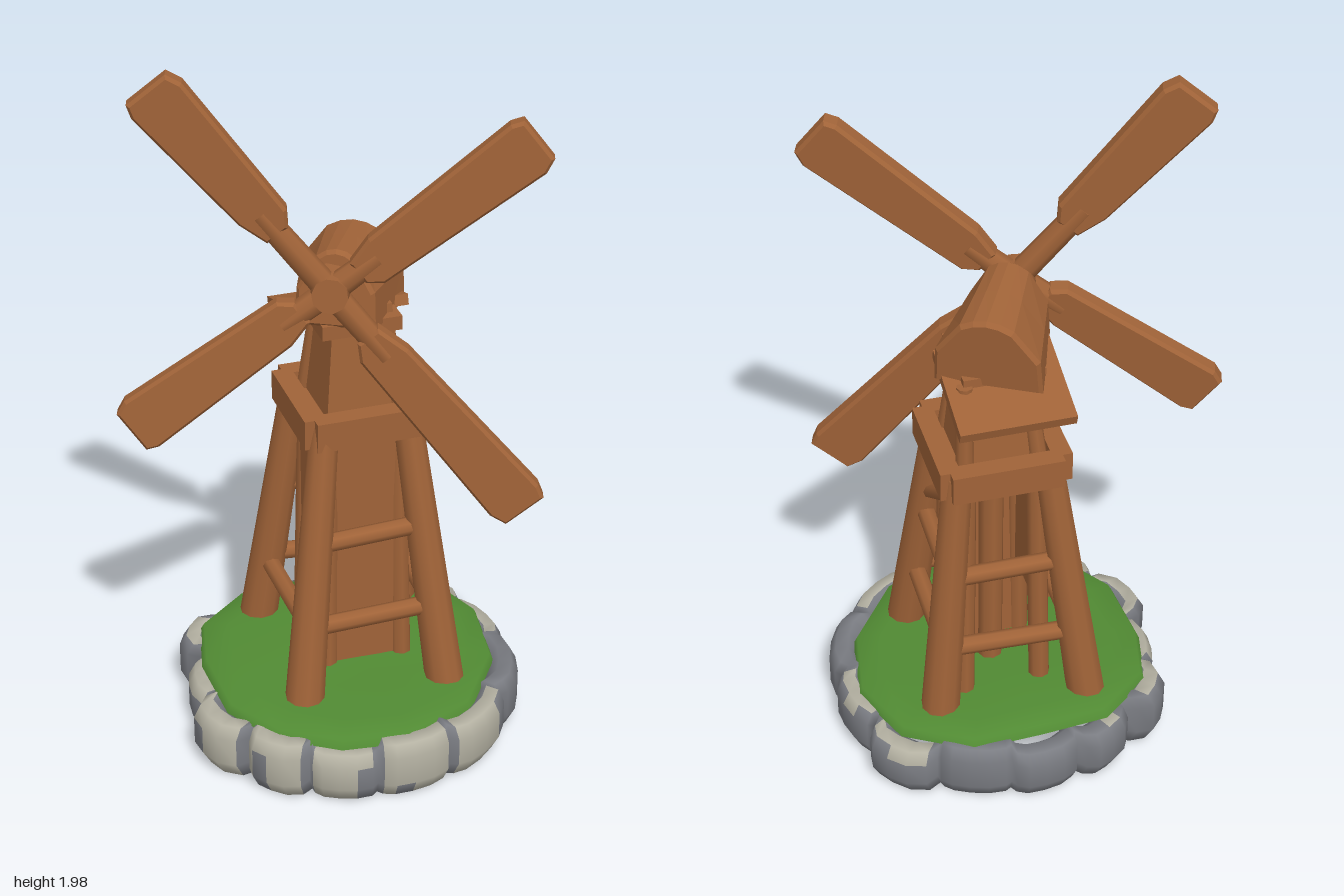
import * as THREE from 'three';

const V = (x, y, z) => new THREE.Vector3(x, y, z);
const mat = (name, color, extra = {}) => {
  const m = new THREE.MeshStandardMaterial({ color, ...extra });
  m.name = name;
  return m;
};

export function createModel() {
  const root = new THREE.Group();
  root.name = 'windmill';
  const wood = mat('wood', 0xa06338);
  const grass = mat('grass', 0x518a33, { side: THREE.DoubleSide });
  const stone = mat('stone', 0x7a7c82);
  const paleStone = mat('paleStone', 0xb4b1a2);
  const soil = mat('soil', 0x49372a);

  const add = (name, geo, m = wood) => {
    const mesh = new THREE.Mesh(geo, m);
    mesh.name = name;
    root.add(mesh);
    return mesh;
  };
  // round pole from a to b
  const pole = (name, a, b, rA, rB, sides = 10) => {
    const mesh = add(name, new THREE.CylinderGeometry(rB, rA, a.distanceTo(b), sides));
    mesh.position.copy(a).add(b).multiplyScalar(0.5);
    mesh.quaternion.setFromUnitVectors(V(0, 1, 0), b.clone().sub(a).normalize());
  };
  // turn a mesh so its x and y axes follow the given directions
  const orient = (mesh, pos, x, y) => {
    const z = x.clone().cross(y).normalize();
    mesh.quaternion.setFromRotationMatrix(new THREE.Matrix4().makeBasis(x, z.clone().cross(x), z));
    mesh.position.copy(pos);
  };
  const plank = (name, a, b, h, w) =>
    orient(add(name, new THREE.BoxGeometry(a.distanceTo(b), h, w)),
      a.clone().lerp(b, 0.5), b.clone().sub(a).normalize(), V(0, 1, 0));
  const indexed = (positions, index) => {
    const g = new THREE.BufferGeometry();
    g.setAttribute('position', new THREE.Float32BufferAttribute(positions, 3));
    g.setIndex(index);
    g.computeVertexNormals();
    return g;
  };

  // ---- ring of boulders: [angle in degrees, radius, lowest pale band of each step, grass edge radius]
  const rocks = [[10, .46, '014440', .40], [42, .455, '044340', .415], [68, .46, '024440', .425],
    [92, .485, '044240', .435], [116, .51, '044211', .44], [146, .475, '022210', .435],
    [169, .52, '011100', .465], [193, .485, '001000', .445], [218, .465, '000000', .395],
    [246, .45, '000000', .425], [274, .495, '022110', .44], [302, .46, '012110', .42], [334, .465, '000000', .395]];
  const profile = [[.80, .15], [.88, .19], [.96, .185], [1, .15], [1, .07], [.95, .025], [.82, .02], [.79, .08]];
  const stepAt = [0, .08, .3, .55, .78, .93], stepBulge = [0, .6, .95, 1, .95, .55];
  const N = rocks.length, ring = [];
  rocks.forEach(([deg, r, pale], i) => {
    const prev = rocks[(i + N - 1) % N][0] - (i === 0 ? 360 : 0);
    const next = rocks[(i + 1) % N][0] + (i === N - 1 ? 360 : 0);
    stepAt.forEach((t, k) => ring.push({
      a: THREE.MathUtils.degToRad(THREE.MathUtils.lerp((prev + deg) / 2, (deg + next) / 2, t)),
      r: THREE.MathUtils.lerp(.43, r, stepBulge[k]), pale: Number(pale[k]), lift: .012 * Math.sin(i * 2.3) }));
  });
  const pos = [], faces = [[], [], []];
  const P = profile.length;
  ring.forEach(({ a, r, lift }) => profile.forEach(([s, y]) =>
    pos.push(Math.cos(a) * r * s, y + (y > .1 ? lift : 0), Math.sin(a) * r * s)));
  ring.forEach(({ pale }, i) => {
    for (let j = 0; j < P; j++) {
      const i2 = (i + 1) % ring.length, j2 = (j + 1) % P;
      const a = i * P + j, b = i * P + j2, c = i2 * P + j2, d = i2 * P + j;
      faces[j === 5 ? 2 : j >= 1 && j <= pale ? 1 : 0].push(a, d, b, b, d, c);
    }
  });
  const rockGeo = indexed(pos, faces.flat());
  let start = 0;
  faces.forEach((f, m) => {
    rockGeo.addGroup(start, f.length, m);
    start += f.length;
  });
  add('boulderRing', rockGeo, [stone, paleStone, soil]);

  // ---- grassy mound reaching over the boulders
  const gp = [0, .225, 0], gi = [];
  const rows = [[.45, .222], [.8, .222], [.97, .21], [1, .185]];
  rows.forEach(([s, y]) => rocks.forEach(([deg, , , g]) => {
    const a = THREE.MathUtils.degToRad(deg);
    gp.push(Math.cos(a) * g * s, y + .01 * Math.cos(a - 3.4), Math.sin(a) * g * s);
  }));
  for (let i = 0; i < N; i++) {
    const n = (i + 1) % N;
    gi.push(0, 1 + n, 1 + i);
    for (let q = 0; q < rows.length - 1; q++) {
      const a = 1 + q * N + i, b = 1 + q * N + n;
      gi.push(a, b, a + N, b, b + N, a + N);
    }
  }
  add('grassMound', indexed(gp, gi), grass);

  // ---- four splayed legs, in order front, left side, back, right side
  const feet = [V(-.02, .2, .27), V(.275, .2, -.01), V(-.015, .2, -.305), V(-.335, .2, -.04)];
  const tops = [V(-.03, 1, .12), V(.13, 1, -.05), V(-.04, 1, -.24), V(-.21, 1, -.06)];
  const legAt = (i, y) => feet[i % 4].clone().lerp(tops[i % 4], (y - .2) / .8);
  for (let i = 0; i < 4; i++) {
    pole('leg', feet[i], tops[i], .055, .04);
    for (const y of i === 3 ? [.41] : [.42, .66]) pole('rung', legAt(i, y), legAt(i + 1, y + .01), .026, .026, 8);
  }
  pole('brace', legAt(1, .72), legAt(2, .93), .02, .02, 8);

  // ---- square balcony of beams
  const mid = V(-.04, .98, -.06);
  const corner = (i, r, y) => V(mid.x + Math.sin(i * Math.PI / 2) * r, y, mid.z + Math.cos(i * Math.PI / 2) * r);
  for (let i = 0; i < 4; i++) plank('balconyBeam', corner(i, .215, .985), corner(i + 1, .215, .985), .085, .055);
  const floor = add('balconyFloor', new THREE.BoxGeometry(.29, .03, .29));
  floor.position.set(mid.x, .985, mid.z);
  floor.rotation.y = Math.PI / 4;

  // ---- inner tower: corner posts, wall panels and the closed upper storey
  for (let i = 0; i < 4; i++) pole('towerPost', corner(i, .155, .2), corner(i, .135, 1), .03, .028, 8);
  pole('centrePost', V(-.03, .2, -.05), V(-.04, 1, -.06), .035, .035, 8);
  const panel = (name, i, y0, y1) =>
    plank(name, corner(i, .15, (y0 + y1) / 2), corner(i + 1, .15, (y0 + y1) / 2), y1 - y0, .03);
  panel('frontWall', 0, .22, .98);
  panel('sideWall', 3, .5, .98);
  const storey = new THREE.CylinderGeometry(.115, .155, .33, 4).toNonIndexed();
  storey.computeVertexNormals();
  add('upperStorey', storey).position.set(-.035, 1.14, -.06);
  for (const i of [1, 2, 3]) pole('upperPost', corner(i, .145, .97), corner(i, i === 2 ? .14 : .1, 1.26), .025, .022, 8);

  // ---- sloping skirt roof at the back and a ledge under the cap
  orient(add('skirtRoof', new THREE.BoxGeometry(.31, .28, .03)), V(-.115, 1.24, -.125),
    V(.70, 0, -.71).normalize(), V(.18, .08, .18).normalize());
  const ledge = add('capLedge', new THREE.BoxGeometry(.22, .04, .22));
  ledge.position.set(-.04, 1.26, -.05);
  ledge.rotation.y = Math.PI / 4;

  // ---- rounded cap, narrowing towards the hub
  const arch = new THREE.Shape();
  arch.moveTo(-.125, 0);
  arch.lineTo(.125, 0);
  arch.lineTo(.12, .09);
  arch.lineTo(.06, .175);
  arch.quadraticCurveTo(0, .215, -.06, .175);
  arch.lineTo(-.12, .09);
  const capGeo = new THREE.ExtrudeGeometry(arch, {
    depth: .24, steps: 2, bevelSize: .01, bevelThickness: .012, bevelSegments: 1, curveSegments: 4 });
  const cp = capGeo.attributes.position;
  for (let i = 0; i < cp.count; i++) cp.setX(i, cp.getX(i) * (1.06 - 1.1 * cp.getZ(i)));
  capGeo.computeVertexNormals();
  const cap = add('cap', capGeo);
  cap.position.set(-.085, 1.26, -.155);
  cap.rotation.set(-.1, .28, 0, 'YXZ');

  // ---- hub and four sails: tip centre and where the broad part begins
  const hub = V(-.01, 1.4, .12);
  const axis = V(.43, .07, .9).normalize();
  pole('hub', hub.clone().addScaledVector(axis, -.12), hub.clone().addScaledVector(axis, .04), .065, .048);
  const sails = [[V(-.402, 1.952, .322), .36], [V(.45, 1.813, -.115), .2], [V(-.452, 1.025, .39), .2], [V(.463, .778, -.072), .25]];
  for (const [tip, begin] of sails) {
    const dir = tip.clone().sub(hub);
    const L = dir.length();
    dir.normalize();
    const side = dir.clone().cross(axis).normalize();
    pole('sailSpar', hub, hub.clone().addScaledVector(dir, L * (begin + .04)), .036, .032, 8);
    const s = new THREE.Shape();
    s.moveTo(-.028, L * (begin - .05));
    s.lineTo(.03, L * (begin - .05));
    s.lineTo(.055, L * begin);
    s.lineTo(.07, L * .95);
    s.lineTo(.055, L);
    s.lineTo(-.06, L);
    s.lineTo(-.07, L * .96);
    s.lineTo(-.05, L * (begin + .06));
    const g = new THREE.ExtrudeGeometry(s, { depth: .036, bevelSize: .008, bevelThickness: .01, bevelSegments: 1 });
    g.translate(0, 0, -.018);
    orient(add('sail', g), hub, side, dir);
  }
  return root;
}
